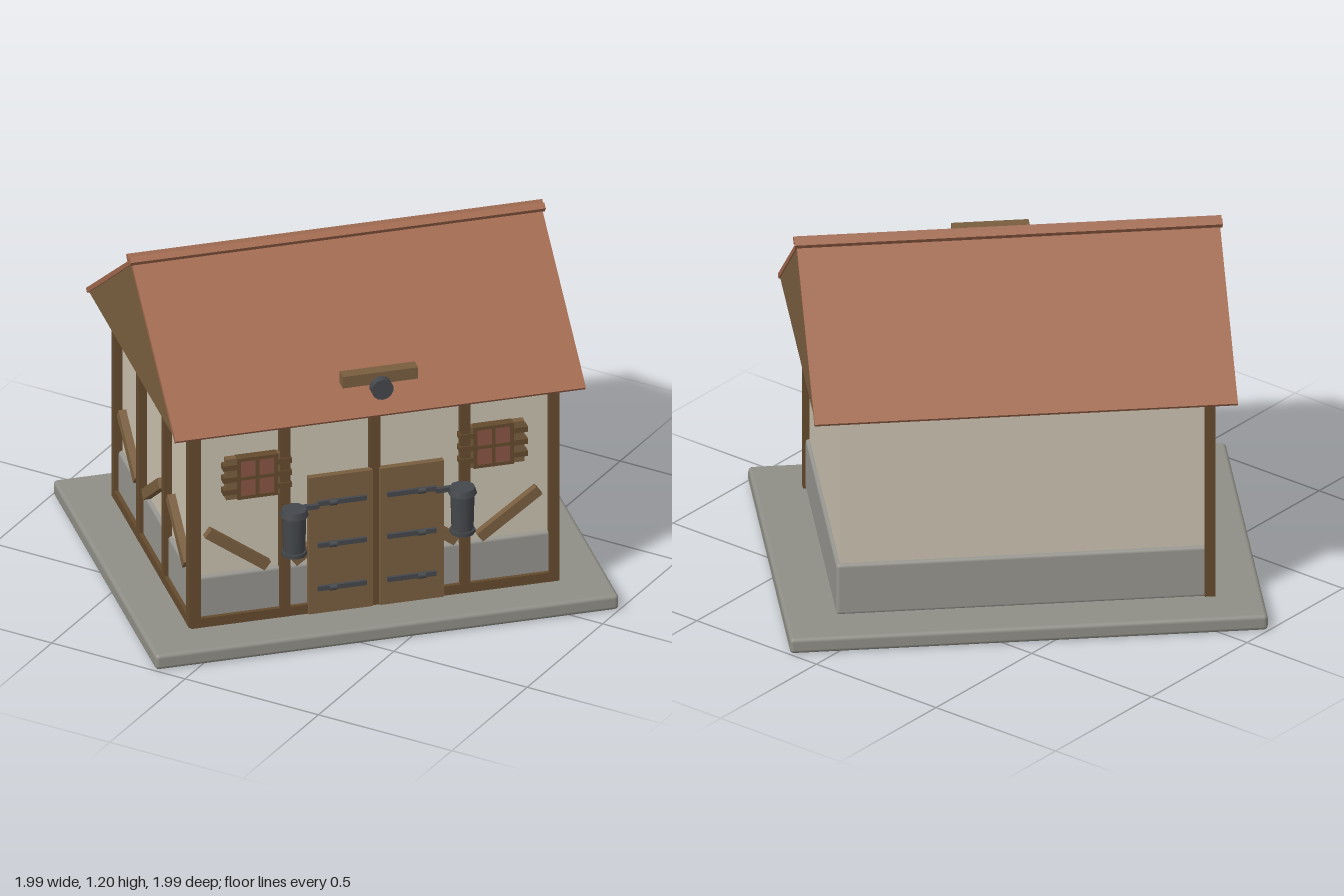
import * as THREE from 'three';
import { RoundedBoxGeometry } from 'three/addons/geometries/RoundedBoxGeometry.js';

const mat = (name, color) => Object.assign(new THREE.MeshStandardMaterial({ color }), { name });

export function createModel() {
  const stone = mat('stone', 0x8f8e86);
  const plinthStone = mat('plinth stone', 0x96948e);
  const plaster = mat('plaster', 0xcac1af);
  const timber = mat('dark timber', 0x644a2e);
  const plank = mat('plank wood', 0x795e3f);
  const tile = mat('roof tile', 0xa0684d);
  const iron = mat('iron', 0x44474b);
  const pane = mat('window red', 0x8a5544);

  const model = new THREE.Group();
  const house = new THREE.Group();
  house.name = 'house';
  house.rotation.y = Math.PI / 4; // the building stands diagonally
  model.add(house);

  function add(name, geometry, material, x, y, z, parent = house) {
    const mesh = new THREE.Mesh(geometry, material);
    mesh.name = name;
    mesh.position.set(x, y, z);
    parent.add(mesh);
    return mesh;
  }
  const box = (name, material, w, h, d, x, y, z, parent) =>
    add(name, new THREE.BoxGeometry(w, h, d), material, x, y, z, parent);

  // Base slab, plinth and walls
  add('baseSlab', new RoundedBoxGeometry(1.57, 0.055, 1.26, 2, 0.014), stone, 0, 0.0275, 0);
  add('plinth', new RoundedBoxGeometry(1.23, 0.185, 0.934, 2, 0.012), plinthStone, 0, 0.143, 0);
  box('walls', plaster, 1.205, 0.745, 0.91, 0, 0.4225, 0);

  // Timber frame on one wall, built in its own plane: x along, z outward
  function frame(name, width, posts, braces) {
    const g = new THREE.Group();
    g.name = name;
    for (const x of posts) box('post', timber, 0.034, 0.735, 0.035, x, 0.4225, 0, g);
    box('sill', timber, width, 0.034, 0.034, 0, 0.072, 0, g);
    box('topBeam', timber, width, 0.026, 0.034, 0, 0.777, 0, g);
    for (const [x, dir] of braces) {
      box('brace', plank, 0.25, 0.036, 0.03, x, 0.325, 0.002, g).rotation.z = dir * 0.63;
    }
    house.add(g);
    return g;
  }
  frame('frontFrame', 1.24, [-0.607, -0.305, 0, 0.305, 0.607],
    [[-0.465, -1], [-0.175, 1], [0.175, -1], [0.455, 1]]).position.z = 0.464;
  const side = frame('sideFrame', 0.94, [-0.455, -0.153, 0.153, 0.455],
    [[-0.3, -1], [0, 1], [0.3, -1]]);
  side.position.x = -0.612;
  side.rotation.y = -Math.PI / 2;

  // Roof: closed wooden gable body
  const eaveZ = 0.53, eaveY = 0.79, ridgeY = 1.168, length = 1.38;
  const triangle = new THREE.Shape([
    new THREE.Vector2(-eaveZ, eaveY), new THREE.Vector2(eaveZ, eaveY), new THREE.Vector2(0, ridgeY),
  ]);
  const gable = new THREE.ExtrudeGeometry(triangle, { depth: length, bevelEnabled: false });
  gable.translate(0, 0, -length / 2);
  add('gableBody', gable, plank, 0, 0, 0).rotation.y = Math.PI / 2;

  // Tiled slopes over the gable body
  for (const s of [-1, 1]) {
    const slope = new THREE.Shape([
      new THREE.Vector2(0, ridgeY), new THREE.Vector2(0, 1.187),
      new THREE.Vector2(0.548, 0.795), new THREE.Vector2(0.536, 0.783),
    ]);
    const geo = new THREE.ExtrudeGeometry(slope, { depth: 1.39, bevelEnabled: false });
    geo.translate(0, 0, -0.695);
    add('roofSlope', geo, tile, 0, 0, 0).rotation.y = s * Math.PI / 2;
    const cap = box('ridgeTile', tile, 1.405, 0.022, 0.022, 0, 1.187, s * 0.015);
    cap.rotation.x = s * 0.62;
  }

  // Mirrored front fittings: door leaves, lanterns, windows
  for (const s of [-1, 1]) {
    const leaf = new THREE.Group();
    leaf.name = s < 0 ? 'rightDoorLeaf' : 'leftDoorLeaf';
    house.add(leaf);
    box('doorPanel', plank, 0.216, 0.505, 0.022, s * 0.121, 0.3125, 0.485, leaf);
    for (const y of [0.155, 0.315, 0.47]) {
      box('strap', iron, 0.165, 0.016, 0.012, s * 0.118, y, 0.501, leaf);
      const knob = add('strapKnuckle', new THREE.CylinderGeometry(0.011, 0.011, 0.026, 8), iron,
        s * 0.15, y, 0.504, leaf);
      knob.rotation.z = Math.PI / 2;
    }

    const lantern = new THREE.Group();
    lantern.name = 'lantern';
    lantern.position.set(s * 0.285, 0, 0.517);
    house.add(lantern);
    add('lanternBody', new THREE.CylinderGeometry(0.04, 0.036, 0.145, 10), iron, 0, 0.382, 0, lantern);
    add('lanternCap', new THREE.CylinderGeometry(0.042, 0.048, 0.022, 10), iron, 0, 0.46, 0, lantern);
    add('lanternFoot', new THREE.CylinderGeometry(0.042, 0.042, 0.014, 10), iron, 0, 0.311, 0, lantern);
    box('bracket', iron, 0.085, 0.016, 0.016, -s * 0.045, 0.462, -0.015, lantern);

    const win = new THREE.Group();
    win.name = 'window';
    win.position.set(s * 0.4, 0.59, 0.468);
    house.add(win);
    box('windowPanel', pane, 0.125, 0.14, 0.03, 0, 0, 0, win);
    for (const x of [-0.062, 0, 0.062]) box('mullion', timber, 0.012, 0.152, 0.038, x, 0, 0, win);
    for (const y of [-0.07, 0, 0.07]) box('glazingBar', timber, 0.13, 0.012, 0.037, 0, y, 0, win);
    for (const t of [-1, 1]) {
      box('shutter', plank, 0.036, 0.15, 0.024, t * 0.087, 0, 0, win);
      for (const y of [-0.045, 0, 0.045]) {
        box('shutterSlat', timber, 0.05, 0.019, 0.036, t * 0.091, y, 0, win);
      }
    }
  }

  // Sign beam and round iron boss above the eave
  box('signBeam', plank, 0.255, 0.042, 0.042, 0, 0.93, 0.523);
  add('signBoss', new THREE.CylinderGeometry(0.037, 0.037, 0.03, 14), iron, 0, 0.9, 0.557)
    .rotation.x = Math.PI / 2;

  return model;
}
